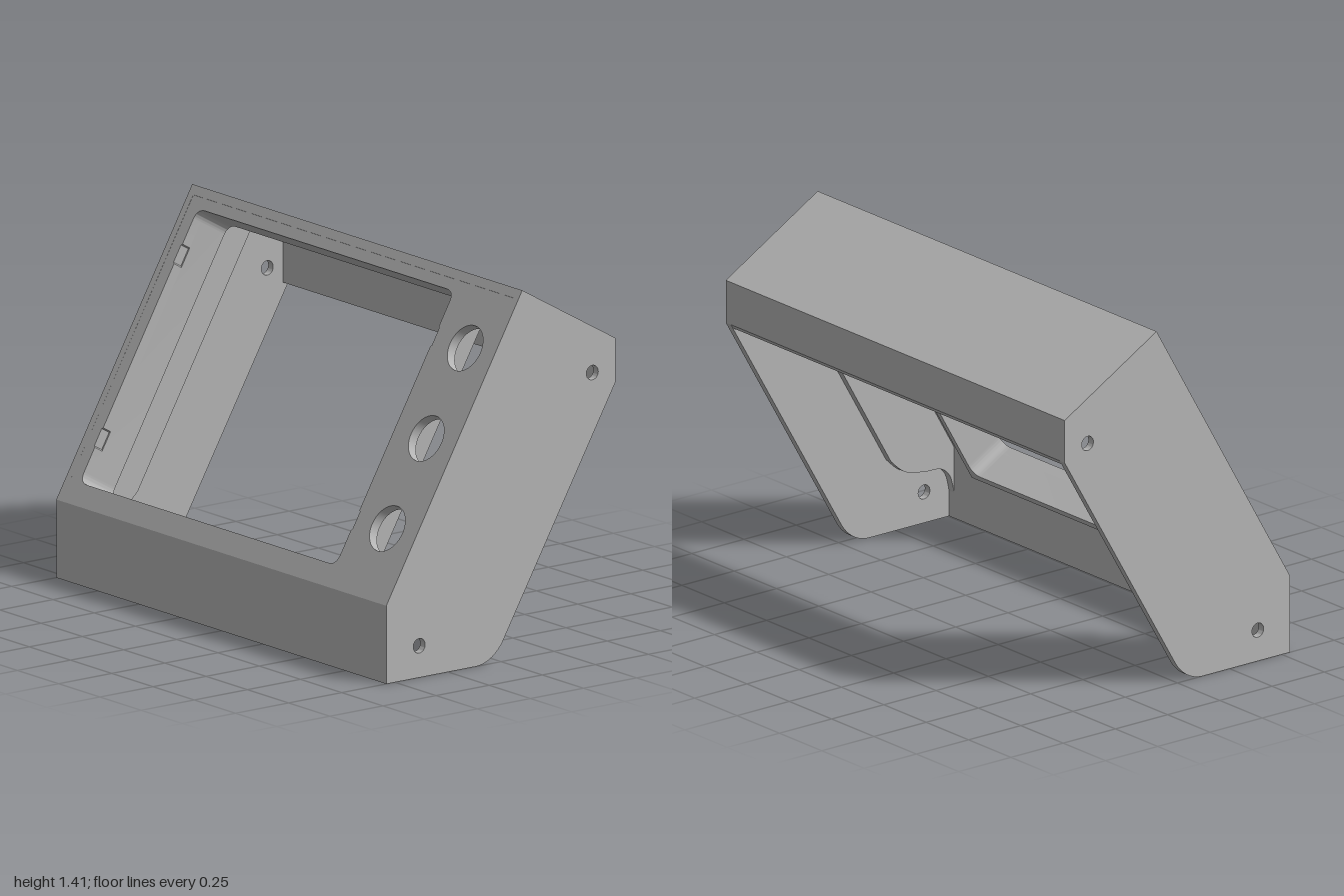
import * as THREE from 'three';
import { toCreasedNormals } from 'three/addons/utils/BufferGeometryUtils.js';

const WALL = 0.03, PANEL = 0.04, COLLAR = 0.168, ROOF = 0.037;
const SLOPE = 1.281; // length of the sloping face

export function createModel() {
  const model = new THREE.Group();
  model.name = 'instrumentEnclosure';
  const grey = new THREE.MeshStandardMaterial({ color: 0xb4b4b4 });
  grey.name = 'grey plastic';

  const extrude = (shape, depth) => toCreasedNormals(
    new THREE.ExtrudeGeometry(shape, { depth, bevelEnabled: false, curveSegments: 20 }), 0.5);

  function add(parent, name, geometry) {
    const mesh = new THREE.Mesh(geometry, grey);
    mesh.name = name;
    parent.add(mesh);
  }

  // Extrudes a (z, y) profile along x, from x0 over the given width
  function alongX(shape, x0, width) {
    return extrude(shape, width).rotateY(Math.PI / 2).translate(x0, 0, 0);
  }
  const profile = (points) => new THREE.Shape(points.map(([z, y]) => new THREE.Vector2(-z, y)));
  const circle = (x, y, r) => new THREE.Path().absarc(x, y, r, 0, Math.PI * 2, true);

  // Side plates with two screw holes and a rounded rear foot
  const side = new THREE.Shape();
  side.moveTo(-0.54, 0);
  side.lineTo(-0.12, 0);
  side.bezierCurveTo(-0.07, 0, -0.02, 0.03, 0.01, 0.08);
  side.lineTo(0.54, 0.99);
  side.lineTo(0.54, 1.157);
  side.lineTo(0.1, 1.41);
  side.lineTo(-0.54, 0.3);
  side.closePath();
  side.holes.push(circle(-0.385, 0.122, 0.028), circle(0.43, 1.042, 0.028));

  // Thicker band inside each side, cut away around the lower screw
  const band = new THREE.Shape();
  band.moveTo(-0.505, 0.28);
  band.lineTo(-0.505, 0.1);
  band.splineThru([[-0.485, 0.17], [-0.44, 0.208], [-0.36, 0.215], [-0.27, 0.235], [-0.203, 0.29]]
    .map(([x, y]) => new THREE.Vector2(x, y)));
  band.lineTo(0.339, 1.228);
  band.lineTo(0.117, 1.357);
  band.closePath();

  for (const [label, s] of [['left', 1], ['right', -1]]) {
    add(model, label + 'SidePlate', alongX(side, s > 0 ? 1 - WALL : -1, WALL));
    add(model, label + 'InnerBand', alongX(band, s > 0 ? 0.94 : -0.97, 0.03));
  }

  // Upright front panel
  const inner = 1 - WALL;
  const front = profile([[0.54, 0], [0.54, 0.3], [0.505, 0.28], [0.505, 0]]);
  add(model, 'frontPanel', alongX(front, -inner, inner * 2));

  // Roof and short back panel as one bent sheet
  const roof = profile([[-0.1, 1.41], [-0.54, 1.157], [-0.54, 0.99], [-0.528, 0.973],
    [-0.503, 0.975], [-0.503, 1.138], [-0.0815, 1.378]]);
  add(model, 'roofAndBack', alongX(roof, -inner, inner * 2));

  // Sloping face: local y runs up the slope, local z points outwards
  const face = new THREE.Group();
  face.name = 'slopingFace';
  face.position.set(0, 0.3, 0.54);
  face.rotation.x = -Math.PI / 6;
  model.add(face);

  const rectangle = (x0, y0, x1, y1) => new THREE.Shape(
    [[x0, y0], [x1, y0], [x1, y1], [x0, y1]].map(([x, y]) => new THREE.Vector2(x, y)));

  // Rounded window outline, optionally with shallow clip notches on both sides
  function windowPath(notch) {
    const x0 = -0.915, x1 = 0.638, y0 = 0.087, y1 = 1.2, r = 0.045, p = new THREE.Path();
    const notches = notch ? [0.27, 1.016] : [];
    p.moveTo(x0 + r, y0);
    p.lineTo(x1 - r, y0);
    p.quadraticCurveTo(x1, y0, x1, y0 + r);
    for (const y of notches) {
      p.lineTo(x1, y - 0.04);
      p.lineTo(x1 + notch, y - 0.035);
      p.lineTo(x1 + notch, y + 0.035);
      p.lineTo(x1, y + 0.04);
    }
    p.lineTo(x1, y1 - r);
    p.quadraticCurveTo(x1, y1, x1 - r, y1);
    p.lineTo(x0 + r, y1);
    p.quadraticCurveTo(x0, y1, x0, y1 - r);
    for (const y of [...notches].reverse()) {
      p.lineTo(x0, y + 0.04);
      p.lineTo(x0 - notch, y + 0.035);
      p.lineTo(x0 - notch, y - 0.035);
      p.lineTo(x0, y - 0.04);
    }
    p.lineTo(x0, y0 + r);
    p.quadraticCurveTo(x0, y0, x0 + r, y0);
    return p;
  }

  // Face plate with the window and three control holes
  const plate = rectangle(-inner, 0, inner, SLOPE - ROOF);
  plate.holes.push(windowPath(0.006));
  for (const y of [0.277, 0.643, 1.01]) plate.holes.push(circle(0.828, y, 0.091));
  add(face, 'facePlate', extrude(plate, PANEL).translate(0, 0, -PANEL));

  // Deep collar behind the window
  const collar = rectangle(-0.94, 0.06, 0.663, SLOPE - ROOF);
  collar.holes.push(windowPath(0));
  add(face, 'windowCollar', extrude(collar, COLLAR - PANEL).translate(0, 0, -COLLAR));

  return model;
}
